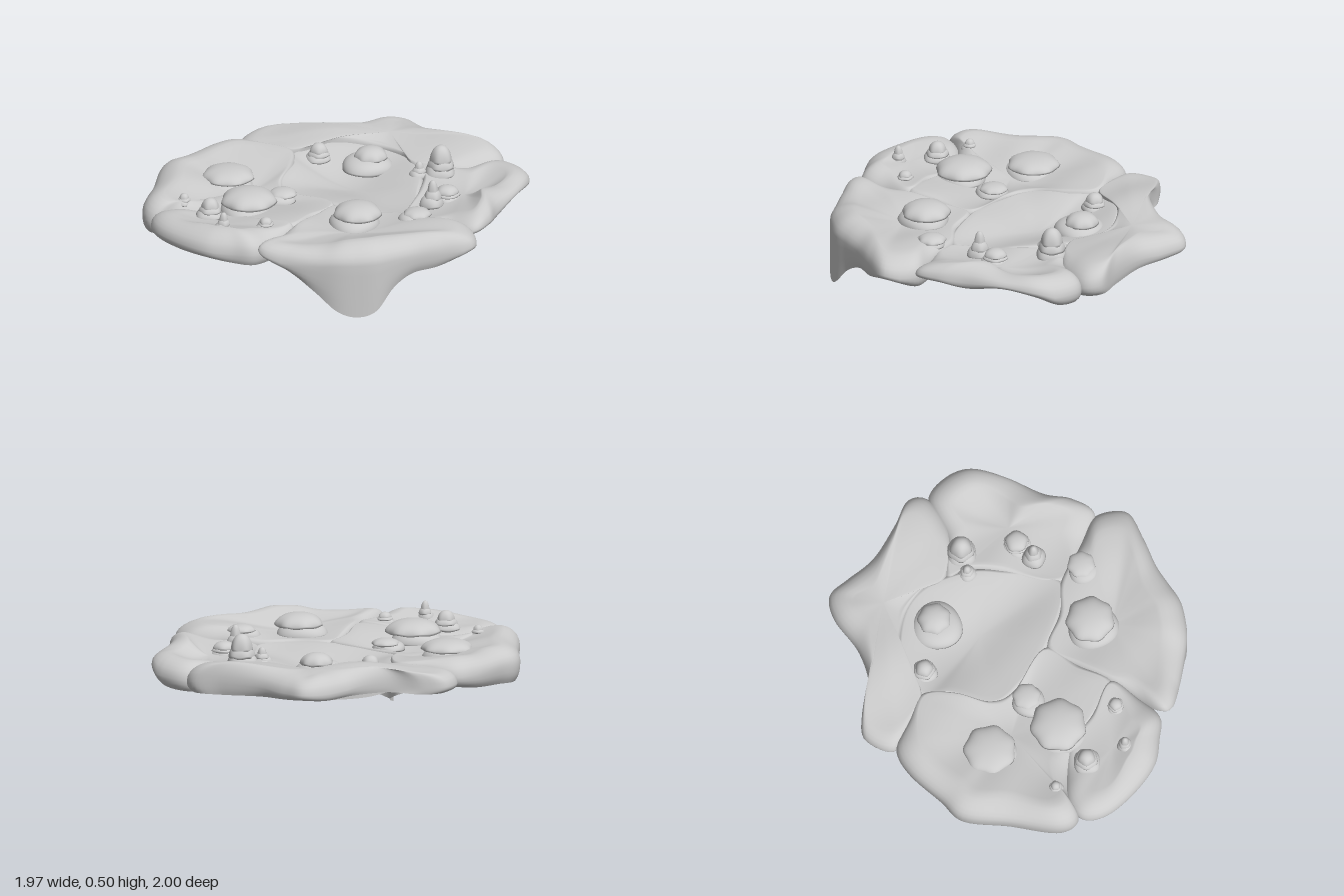
import * as THREE from 'three';

const material = new THREE.MeshStandardMaterial({ color: 0xcccccc, side: THREE.DoubleSide });

// Gentle unevenness of the ground
const ripple = (x, z) => 0.009 * Math.sin(9 * x + 4 * z) + 0.008 * Math.sin(13 * z - 6 * x + 1);

// Lofts closed rings of points, starting from a centre point
function loft(centre, rings) {
  const n = rings[0].length, pos = [...centre], idx = [];
  rings.forEach((ring) => ring.forEach((p) => pos.push(...p)));
  rings.forEach((ring, k) => {
    for (let j = 0; j < n; j++) {
      const a = 1 + k * n + j, b = 1 + k * n + ((j + 1) % n);
      if (k === 0) idx.push(0, b, a);
      else idx.push(a - n, b, a, a - n, b - n, b);
    }
  });
  const g = new THREE.BufferGeometry();
  g.setAttribute('position', new THREE.Float32BufferAttribute(pos, 3));
  g.setIndex(idx);
  g.computeVertexNormals();
  return g;
}

// Ground plate: corners are [x, z, top of rim, bottom of skirt], open underneath
function plate(name, cx, cy, cz, corners) {
  const N = 120;
  const curve = (k) => new THREE.CatmullRomCurve3(
    corners.map((c) => new THREE.Vector3(c[0], c[k], c[1])), true, 'catmullrom', 0.5);
  const top = curve(2), bottom = curve(3), edge = [];
  for (let j = 0; j < N; j++) {
    const p = top.getPoint(j / N), low = bottom.getPoint(j / N).y;
    const outer = THREE.MathUtils.smoothstep(Math.hypot(p.x, p.z), 0.6, 0.85);
    edge.push({ p, low, w: 0.03 + 0.1 * outer, d: 0.035 + 0.06 * outer, tuck: 0.05 * outer * Math.min(1, low / 0.2) });
  }
  const rings = [];
  // Bowl-shaped top
  for (let k = 1; k <= 12; k++) {
    rings.push(edge.map(({ p, w }) => {
      const dist = Math.hypot(p.x - cx, p.z - cz), f = k / 12, t = f * (1 - w / dist);
      const x = cx + (p.x - cx) * t, z = cz + (p.z - cz) * t;
      return [x, cy + (p.y - cy) * f * f * (1.6 - 0.6 * f) + ripple(x, z), z];
    }));
  }
  // Rounded rim
  for (let k = 1; k <= 6; k++) {
    const a = (k / 6) * Math.PI / 2;
    rings.push(edge.map(({ p, low, w, d }) => {
      const dist = Math.hypot(p.x - cx, p.z - cz), t = 1 - (w * (1 - Math.sin(a))) / dist;
      const drop = Math.min(d, (p.y - low) * 0.7) * (1 - Math.cos(a));
      const x = cx + (p.x - cx) * t, z = cz + (p.z - cz) * t;
      return [x, p.y + ripple(x, z) * (1 - k / 6) - drop, z];
    }));
  }
  // Hanging skirt, tucked in towards its lower edge
  const rim = rings[rings.length - 1];
  for (let k = 1; k <= 5; k++) {
    rings.push(rim.map(([x, y, z], j) => {
      const s = 1 - edge[j].tuck * (k / 5) ** 3;
      return [cx + (x - cx) * s, y + (edge[j].low - y) * (k / 5), cz + (z - cz) * s];
    }));
  }
  const mesh = new THREE.Mesh(loft([cx, cy + ripple(cx, cz), cz], rings), material);
  mesh.name = name;
  return mesh;
}

// Dome with a lobed edge; tall ones become bullet shaped
function dome(name, x, z, r, y0, y1, lobes, power) {
  const N = 36, M = 10, rings = [];
  for (let k = 1; k <= M; k++) {
    const f = k / M, a = f * Math.PI / 2, ring = [];
    for (let j = 0; j < N; j++) {
      const q = -(j / N) * Math.PI * 2;
      const wave = Math.sin(lobes * q + x * 20) * f ** 3;
      const rr = r * Math.sin(a) ** power * (1 + 0.05 * wave);
      ring.push([x + rr * Math.cos(q), y0 + (y1 - y0) * (Math.cos(a) + 0.06 * wave), z - rr * Math.sin(q)]);
    }
    rings.push(ring.reverse());
  }
  // Tucked-in underside
  rings.push(rings[M - 1].map(([px, py, pz]) => [x + (px - x) * 0.75, py - 0.008, z + (pz - z) * 0.75]));
  const mesh = new THREE.Mesh(loft([x, y1, z], rings), material);
  mesh.name = name;
  return mesh;
}

export function createModel() {
  const model = new THREE.Group();
  model.name = 'island';

  model.add(
    plate('centreBasin', 0.06, 0.275, -0.15, [
      [-0.4, -0.34, 0.34, 0.22], [-0.25, -0.52, 0.345, 0.2], [0, -0.59, 0.35, 0.19], [0.2, -0.54, 0.345, 0.19],
      [0.36, -0.37, 0.335, 0.18], [0.44, -0.18, 0.33, 0.17], [0.48, 0.18, 0.33, 0.17], [0.1, 0.23, 0.33, 0.16],
      [-0.2, 0.14, 0.33, 0.16], [-0.33, 0.03, 0.33, 0.17], [-0.35, -0.2, 0.335, 0.2]]),
    plate('backPlate', 0.03, 0.4, -0.7, [
      [-0.73, -0.38, 0.37, 0.24], [-0.72, -0.55, 0.375, 0.25], [-0.6, -0.61, 0.38, 0.25], [-0.42, -0.63, 0.39, 0.26],
      [-0.25, -0.75, 0.395, 0.26], [-0.12, -0.93, 0.385, 0.26], [0, -1, 0.37, 0.27], [0.12, -0.94, 0.385, 0.26],
      [0.28, -0.84, 0.405, 0.25], [0.5, -0.79, 0.41, 0.24], [0.66, -0.77, 0.4, 0.24], [0.7, -0.66, 0.385, 0.23],
      [0.56, -0.5, 0.37, 0.2], [0.3, -0.43, 0.355, 0.18], [0.18, -0.53, 0.37, 0.2], [0, -0.57, 0.375, 0.22],
      [-0.22, -0.51, 0.37, 0.22], [-0.38, -0.34, 0.36, 0.2], [-0.55, -0.34, 0.36, 0.22]]),
    plate('rightPlate', 0.68, 0.33, -0.2, [
      [0.7, -0.67, 0.38, 0.22], [0.86, -0.62, 0.39, 0.24], [0.94, -0.5, 0.39, 0.3], [0.95, -0.3, 0.385, 0.32],
      [0.93, -0.08, 0.4, 0.28], [0.95, 0.08, 0.39, 0.3], [0.91, 0.22, 0.375, 0.29], [0.72, 0.22, 0.345, 0.22],
      [0.49, 0.18, 0.33, 0.18], [0.43, -0.15, 0.34, 0.17], [0.38, -0.33, 0.34, 0.18], [0.3, -0.43, 0.35, 0.18],
      [0.52, -0.51, 0.36, 0.2]]),
    plate('frontRightPlate', 0.33, 0.35, 0.52, [
      [0.09, 0.22, 0.34, 0.1], [0.3, 0.22, 0.34, 0.1], [0.48, 0.17, 0.345, 0.15], [0.7, 0.2, 0.365, 0.2],
      [0.9, 0.22, 0.385, 0.22], [0.98, 0.38, 0.385, 0.27], [0.86, 0.52, 0.4, 0.22], [0.74, 0.63, 0.4, 0.2],
      [0.66, 0.73, 0.4, 0.14], [0.59, 0.82, 0.4, 0.03], [0.5, 0.88, 0.4, 0.002], [0.4, 0.925, 0.4, 0.035],
      [0.28, 0.95, 0.39, 0.13], [0.12, 0.975, 0.39, 0.24], [-0.02, 0.98, 0.39, 0.3], [-0.06, 0.91, 0.39, 0.31],
      [0, 0.68, 0.37, 0.13], [0.04, 0.42, 0.35, 0.1]]),
    plate('frontLeftPlate', -0.36, 0.36, 0.75, [
      [-0.76, 0.67, 0.36, 0.27], [-0.65, 0.58, 0.36, 0.25], [-0.4, 0.52, 0.35, 0.22], [-0.2, 0.58, 0.36, 0.21],
      [0.01, 0.61, 0.37, 0.2], [-0.02, 0.78, 0.38, 0.22], [-0.08, 0.93, 0.39, 0.23], [-0.2, 0.97, 0.39, 0.24],
      [-0.35, 0.995, 0.39, 0.26], [-0.52, 0.95, 0.39, 0.26], [-0.69, 0.86, 0.38, 0.26], [-0.77, 0.76, 0.37, 0.26]]),
    plate('leftPlate', -0.45, 0.31, 0.2, [
      [-0.72, -0.37, 0.39, 0.24], [-0.55, -0.35, 0.375, 0.23], [-0.39, -0.34, 0.36, 0.18], [-0.32, -0.18, 0.345, 0.12],
      [-0.3, 0.02, 0.34, 0.07], [-0.2, 0.13, 0.34, 0.08], [0.09, 0.21, 0.34, 0.17], [0.05, 0.42, 0.345, 0.17],
      [0.01, 0.63, 0.36, 0.16], [-0.2, 0.6, 0.35, 0.14], [-0.4, 0.55, 0.35, 0.13], [-0.67, 0.61, 0.36, 0.16],
      [-0.78, 0.7, 0.37, 0.2], [-0.88, 0.62, 0.385, 0.19], [-0.93, 0.35, 0.39, 0.19], [-0.985, 0.1, 0.39, 0.19],
      [-0.92, -0.05, 0.395, 0.2], [-0.83, -0.26, 0.395, 0.22]]));

  // Round bushes: x, z, cap radius, base radius, ground y, top y
  [[-0.58, 0.12, 0.14, 0.15, 0.31, 0.405], [-0.33, 0.43, 0.15, 0.14, 0.32, 0.44], [0.3, 0.4, 0.13, 0.14, 0.34, 0.455],
    [0.04, -0.41, 0.09, 0.14, 0.31, 0.415], [-0.22, 0.21, 0.075, 0.09, 0.32, 0.375], [0.59, 0.25, 0.075, 0.085, 0.35, 0.41]]
    .forEach(([x, z, r, base, y, top], i) => {
      const bush = new THREE.Group();
      bush.name = 'bush' + (i + 1);
      const mid = y + (top - y) * 0.42;
      bush.add(dome('bushBase', x - 0.015, z + 0.02, base, y - 0.01, mid + 0.015, 3, 0.7),
        dome('bushCap', x, z, r, mid, top, 7, 0.9));
      model.add(bush);
    });

  // Small stacked trees: x, z, cap radius, base radius, ground y, top y
  [[0.46, -0.4, 0.06, 0.085, 0.34, 0.5], [0.36, -0.33, 0.025, 0.05, 0.34, 0.415], [0.61, -0.13, 0.06, 0.075, 0.33, 0.395],
    [0.57, -0.02, 0.03, 0.065, 0.33, 0.465], [-0.25, -0.37, 0.048, 0.07, 0.32, 0.405], [-0.47, 0.64, 0.048, 0.075, 0.355, 0.45],
    [-0.32, 0.81, 0.024, 0.045, 0.37, 0.46], [-0.12, 0.69, 0.035, 0.05, 0.365, 0.415], [-0.67, 0.53, 0.026, 0.042, 0.35, 0.4]]
    .forEach(([x, z, r, base, y, top], i) => {
      const tree = new THREE.Group();
      tree.name = 'tree' + (i + 1);
      const h = top - y;
      tree.add(dome('treeSkirt', x - 0.005, z + 0.005, base, y - 0.01, y + h * 0.4, 4, 0.9),
        dome('treeMiddle', x, z, (r + base) / 2, y + h * 0.2, y + h * 0.65, 5, 1),
        dome('treeTop', x, z, r, y + h * 0.4, top, 5, 0.9));
      model.add(tree);
    });

  return model;
}
